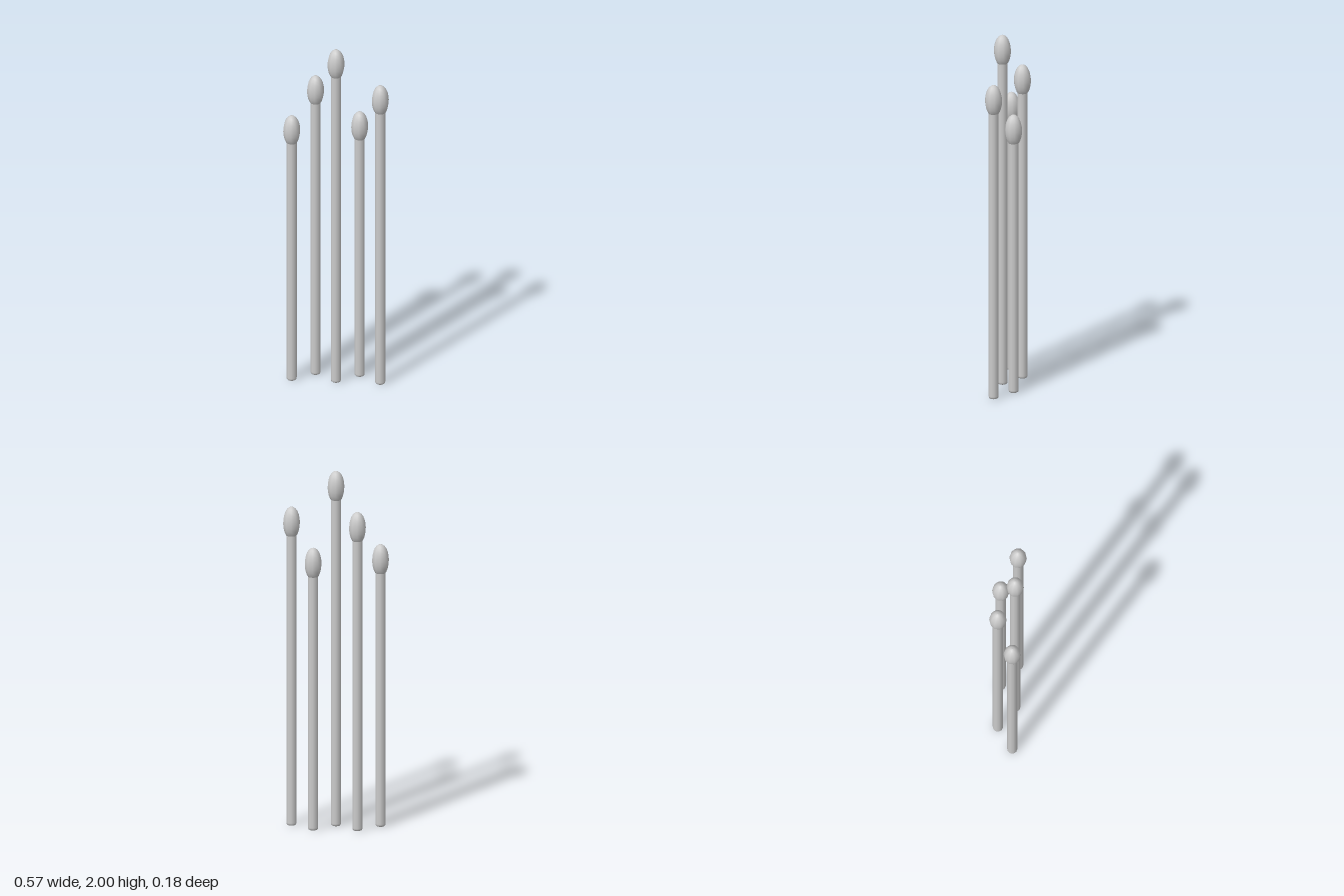
import * as THREE from 'three';

const SIDES = 10;
const HEAD_R = 0.047, HEAD_H = 0.09, STEM_R = 0.028;

export function createModel() {
  const model = new THREE.Group();
  model.name = 'stalks';
  const material = new THREE.MeshStandardMaterial({ color: 0xcccccc });

  const lathe = (points, name) => {
    const profile = points.map(([r, y]) => new THREE.Vector2(r, y));
    const mesh = new THREE.Mesh(new THREE.LatheGeometry(profile, SIDES), material);
    mesh.name = name;
    return mesh;
  };

  // Oval head profile, bottom to top
  const oval = [];
  for (let i = 0; i <= 12; i++) {
    const a = (i / 12) * Math.PI;
    oval.push([HEAD_R * Math.sin(a), -HEAD_H * Math.cos(a)]);
  }

  // Each stalk: x, z and height of the head's centre
  const stalks = [
    [-0.241, 0.043, 1.5],
    [-0.12, -0.043, 1.705],
    [0, 0.043, 1.91],
    [0.12, -0.043, 1.5],
    [0.241, 0.043, 1.705],
  ];

  for (const [x, z, y] of stalks) {
    const stalk = new THREE.Group();
    stalk.name = 'stalk';
    stalk.position.set(x, 0, z);

    // Straight stem with a small bevel at the foot, ending inside the head
    const stem = lathe([
      [0, 0], [STEM_R - 0.007, 0], [STEM_R - 0.002, 0.004],
      [STEM_R, 0.01], [STEM_R, 0.015], [STEM_R, y - 0.04],
    ], 'stem');

    const head = lathe(oval, 'head');
    head.position.y = y;

    stalk.add(stem, head);
    model.add(stalk);
  }
  return model;
}
